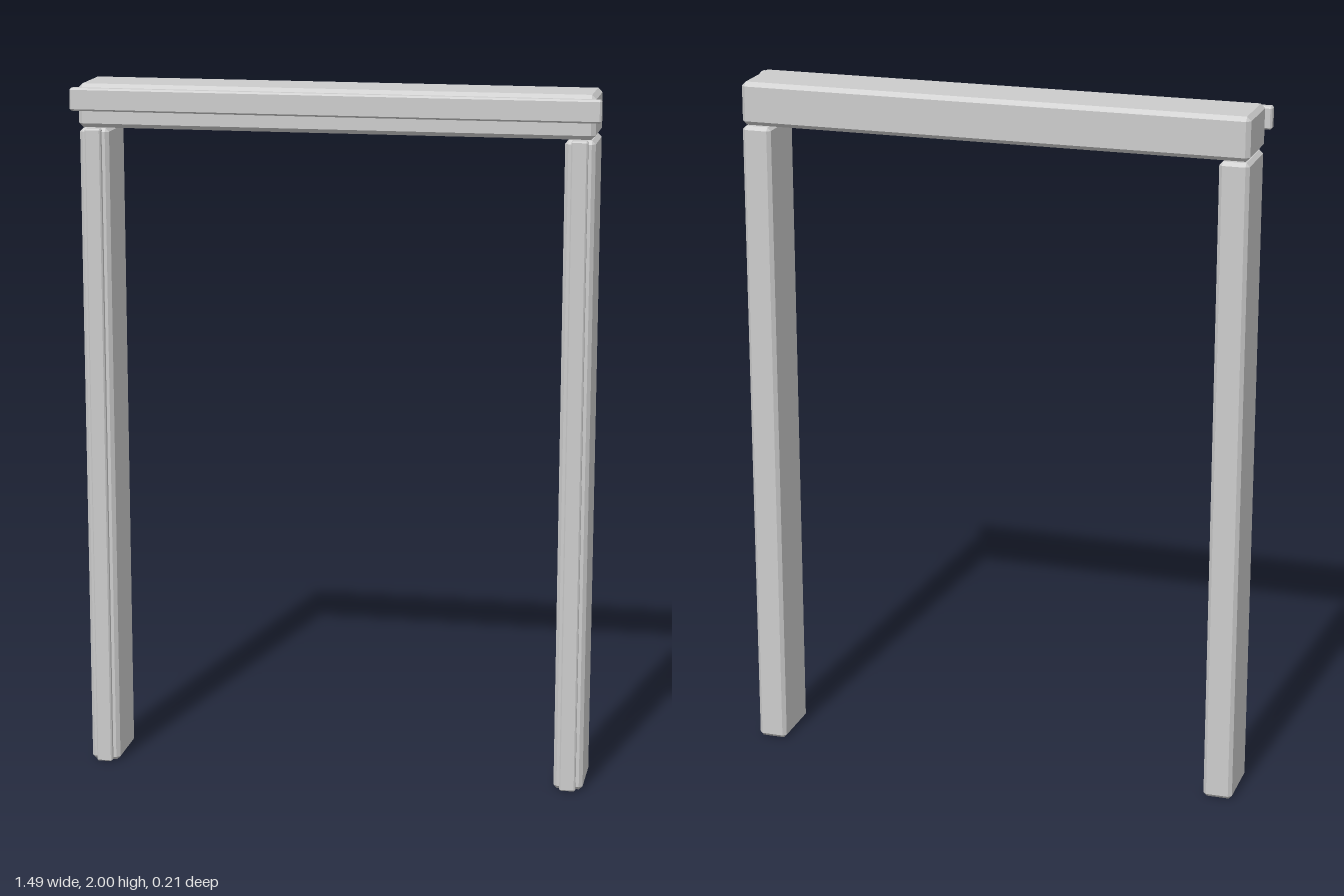
import * as THREE from 'three';
import { ConvexGeometry } from 'three/addons/geometries/ConvexGeometry.js';

// Box between two corners with every edge chamfered by c
function chamferBox(min, max, c) {
  const mid = min.map((v, i) => (v + max[i]) / 2);
  const half = min.map((v, i) => (max[i] - v) / 2);
  const points = [];
  for (const sx of [-1, 1]) for (const sy of [-1, 1]) for (const sz of [-1, 1]) {
    const s = [sx, sy, sz];
    // three points per corner, each lying on one of the faces
    for (let face = 0; face < 3; face++) {
      points.push(new THREE.Vector3(...s.map((sign, i) =>
        mid[i] + sign * (half[i] - (i === face ? 0 : c)))));
    }
  }
  return new ConvexGeometry(points);
}

export function createModel() {
  const model = new THREE.Group();
  model.name = 'doorFrame';
  const grey = new THREE.MeshStandardMaterial({ color: 0xcccccc });
  grey.name = 'light grey';

  function add(name, min, max, c, parent = model) {
    const mesh = new THREE.Mesh(chamferBox(min, max, c), grey);
    mesh.name = name;
    parent.add(mesh);
  }

  // Side posts, each with a narrow raised strip on the front
  for (const [side, x] of [['left', 0.685], ['right', -0.685]]) {
    const post = new THREE.Group();
    post.name = side + 'Post';
    post.position.x = x;
    add(side + 'PostBody', [-0.042, 0, -0.106], [0.042, 1.874, 0.073], 0.01, post);
    add(side + 'PostStrip', [-0.023, 0, 0.05], [0.023, 1.874, 0.088], 0.004, post);
    model.add(post);
  }

  // Lintel across the posts and the overhanging trim on its front
  add('lintel', [-0.727, 1.877, -0.106], [0.727, 2, 0.082], 0.012);
  add('lintelTrim', [-0.745, 1.926, 0.078], [0.745, 1.99, 0.106], 0.005);

  return model;
}
